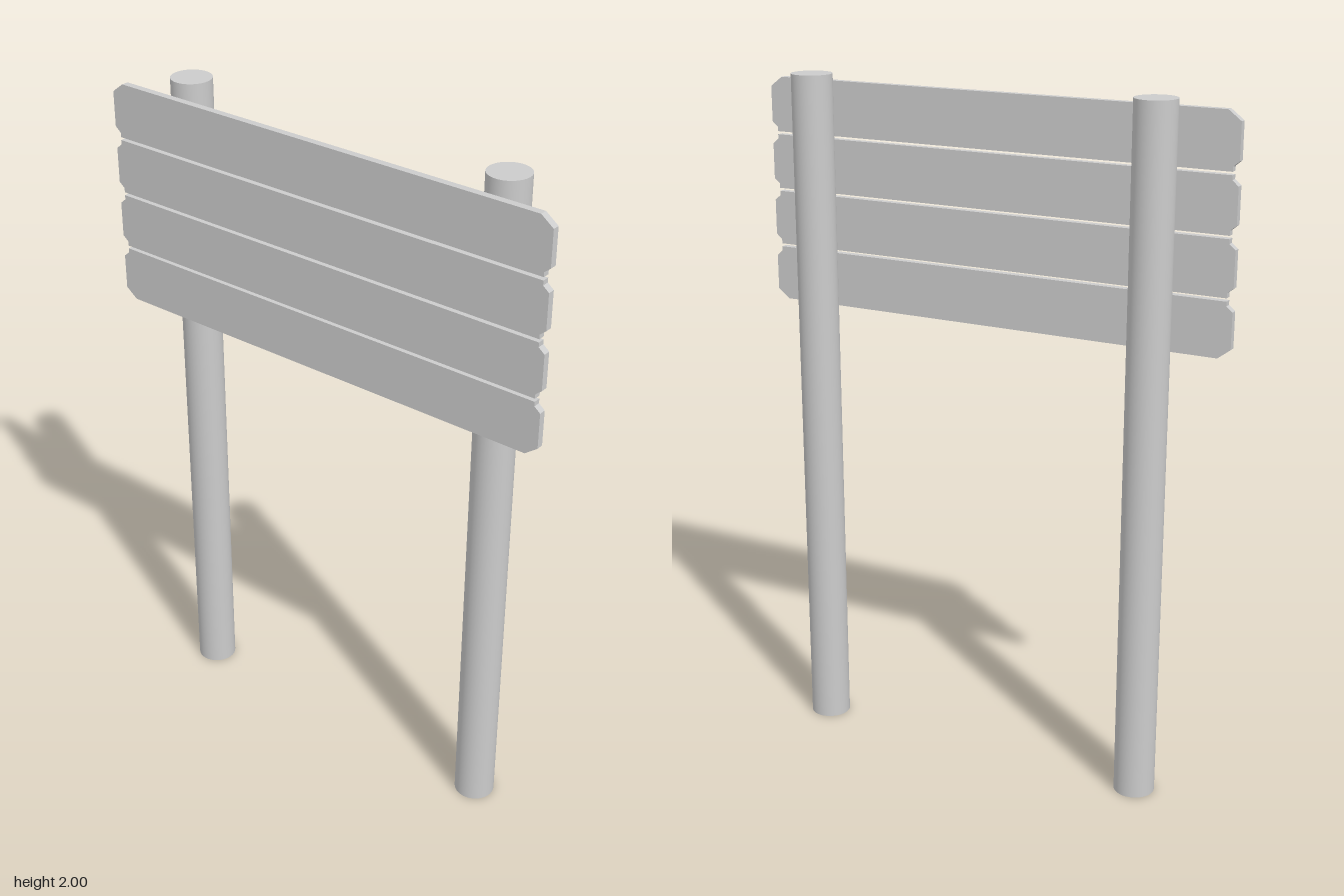
import * as THREE from 'three';

const material = new THREE.MeshStandardMaterial({ color: 0xcccccc });

// Corner cuts as [inset from end, inset from edge], listed from end to edge
const OUTER = [[0, 0.028], [0.037, 0]];
const INNER = [[0, 0.028], [0.018, 0.013], [0.018, 0]];

// Board with chamfered corners, mirrored left to right, origin at its centre
function boardGeometry(topCut, bottomCut) {
  const halfW = 0.724, halfH = 0.0795, depth = 0.021;
  const right = [
    ...[...bottomCut].reverse().map(([dx, dy]) => [halfW - dx, dy - halfH]),
    ...topCut.map(([dx, dy]) => [halfW - dx, halfH - dy]),
  ];
  const left = right.map(([x, y]) => [-x, y]).reverse();
  const shape = new THREE.Shape([...right, ...left].map(([x, y]) => new THREE.Vector2(x, y)));
  return new THREE.ExtrudeGeometry(shape, { depth, bevelEnabled: false });
}

export function createModel() {
  const model = new THREE.Group();
  model.name = 'boardSign';

  // Two round posts
  for (const [name, x] of [['rightPost', -0.522], ['leftPost', 0.526]]) {
    const post = new THREE.Mesh(new THREE.CylinderGeometry(0.059, 0.059, 2, 32), material);
    post.name = name;
    post.position.set(x, 1, -0.023);
    model.add(post);
  }

  // Four horizontal boards, wide chamfers only on the outermost corners
  const count = 4;
  for (let i = 0; i < count; i++) {
    const geometry = boardGeometry(i === 0 ? OUTER : INNER, i === count - 1 ? OUTER : INNER);
    const board = new THREE.Mesh(geometry, material);
    board.name = `board${i + 1}`;
    board.position.set(0, 1.891 - i * 0.168, 0.061);
    model.add(board);
  }
  return model;
}
